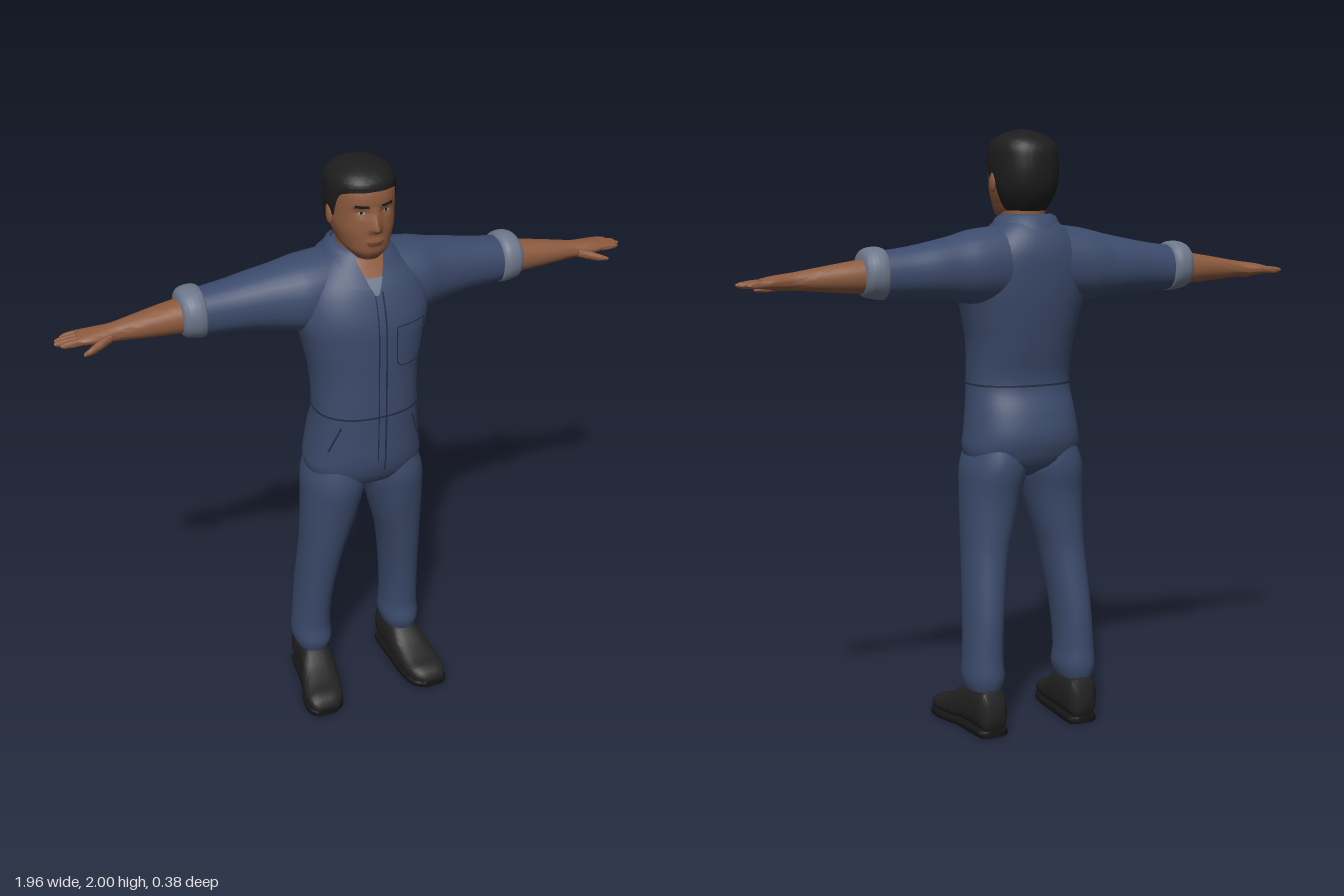
import * as THREE from 'three';
import { toCreasedNormals } from 'three/addons/utils/BufferGeometryUtils.js';

const paint = (name, color) => new THREE.MeshStandardMaterial({ name, color, side: THREE.DoubleSide });

// Smooth interpolation of rows [t, v1, v2, ...] at t
function sample(rows, t) {
  const last = rows.length - 1;
  t = Math.min(Math.max(t, rows[0][0]), rows[last][0]);
  let i = 0;
  while (i < last - 1 && t > rows[i + 1][0]) i++;
  const a = rows[i], b = rows[i + 1], p = rows[Math.max(i - 1, 0)], q = rows[Math.min(i + 2, last)];
  const h = b[0] - a[0], s = (t - a[0]) / h, s2 = s * s, s3 = s2 * s;
  return a.slice(1).map((va, k) => {
    const vb = b[k + 1];
    const ma = (vb - p[k + 1]) / (b[0] - p[0]) * h, mb = (q[k + 1] - va) / (q[0] - a[0]) * h;
    return va * (2 * s3 - 3 * s2 + 1) + ma * (s3 - 2 * s2 + s) + vb * (3 * s2 - 2 * s3) + mb * (s3 - s2);
  });
}

// Surface from a function of two indices
function grid(nu, nv, fn, closed = false) {
  const pos = [], idx = [], cols = closed ? nu : nu + 1;
  for (let j = 0; j <= nv; j++) for (let i = 0; i < cols; i++) pos.push(...fn(i, j));
  for (let j = 0; j < nv; j++) for (let i = 0; i < nu; i++) {
    const a = j * cols + i, b = j * cols + (i + 1) % cols;
    idx.push(a, b, a + cols, b, b + cols, a + cols);
  }
  const g = new THREE.BufferGeometry();
  g.setAttribute('position', new THREE.Float32BufferAttribute(pos, 3));
  g.setIndex(idx);
  return g;
}

// Point on a rounded section with bounds [a0, a1, b0, b1]
const sp = (v, n) => Math.sign(v) * Math.abs(v) ** (2 / n);
function ring([a0, a1, b0, b1], th, n, off = 0) {
  return [(a0 + a1) / 2 + ((a1 - a0) / 2 + off) * sp(Math.cos(th), n),
    (b0 + b1) / 2 + ((b1 - b0) / 2 + off) * sp(Math.sin(th), n)];
}
const place = { x: (t, a, b) => [t, a, b], y: (t, a, b) => [b, t, a], z: (t, a, b) => [a, b, t] };

// Closed loft along an axis; bounds are (y,z) for x, (z,x) for y and (x,y) for z
function loft(axis, rows, { n = 2.2, nu = 28, nv = 24, off = 0, bend = p => p } = {}) {
  const t0 = rows[0][0], t1 = rows[rows.length - 1][0];
  const g = grid(nu, nv + 2, (i, j) => {
    const t = t0 + (t1 - t0) * Math.min(Math.max((j - 1) / nv, 0), 1), s = sample(rows, t);
    if (j === 0 || j === nv + 2) return bend(place[axis](t, (s[0] + s[1]) / 2, (s[2] + s[3]) / 2));
    return bend(place[axis](t, ...ring(s, i / nu * Math.PI * 2, n, off)));
  }, true);
  return toCreasedNormals(g, 0.9);
}

function mirror(geo) {
  const g = geo.clone().scale(-1, 1, 1).toNonIndexed();
  for (const at of Object.values(g.attributes)) {
    for (let i = 0; i < at.count; i += 3) for (let k = 0; k < at.itemSize; k++) {
      const a = at.array, p = (i + 1) * at.itemSize + k, q = p + at.itemSize;
      [a[p], a[q]] = [a[q], a[p]];
    }
  }
  return g;
}

const sym = rows => rows.map(([y, zb, zf, r]) => [y, zb, zf, -r, r]);
const TORSO = sym([[.86, -.06, .06, .06], [.9, -.13, .12, .17], [.95, -.155, .145, .2], [1, -.165, .155, .195],
  [1.08, -.15, .157, .185], [1.17, -.12, .16, .176], [1.3, -.145, .16, .18], [1.4, -.165, .16, .2],
  [1.5, -.18, .155, .22], [1.6, -.185, .12, .2], [1.66, -.17, .08, .15], [1.7, -.145, .055, .105], [1.72, -.12, .04, .075]]);
const HEAD = sym([[1.7, -.02, .09, .04], [1.73, -.09, .11, .07], [1.76, -.115, .112, .084], [1.8, -.135, .113, .097],
  [1.85, -.145, .109, .102], [1.9, -.145, .111, .102], [1.94, -.138, .1, .098], [1.967, -.116, .08, .083],
  [1.985, -.085, .048, .055], [1.995, -.05, .012, .025], [2, -.02, -.02, 0]]);
const N = 2.3;

// Nose, eye sockets and lips pushed out of the face
const bell = (v, w) => Math.exp(-((v / w) ** 2));
function faceRelief(x, y) {
  const nose = y > 1.81 ? Math.max(0, (1.88 - y) / .07) : Math.max(0, (y - 1.792) / .018);
  return .031 * nose * bell(x, .015) - .009 * bell(Math.abs(x) - .04, .02) * bell(y - 1.863, .014)
    + .005 * bell(x, .03) * bell(y - 1.763, .012);
}
function frontZ(rows, x, y) {
  const [z0, z1, , r] = sample(rows, y);
  return (z0 + z1) / 2 + (z1 - z0) / 2 * Math.max(0, 1 - Math.abs(x / r) ** N) ** (1 / N);
}
const chestZ = (x, y) => frontZ(TORSO, x, y);
const faceZ = (x, y) => frontZ(HEAD, x, y) + faceRelief(x, y);

// Thin plate following a front surface; corners: bottom left, bottom right, top left, top right
function plate(zf, [bl, br, tl, tr], off, nu = 8, nv = 8) {
  const mix = (a, b, t) => a + (b - a) * t;
  const g = grid(nu, nv, (i, j) => {
    const [x, y] = [0, 1].map(k => mix(mix(bl[k], br[k], i / nu), mix(tl[k], tr[k], i / nu), j / nv));
    return [x, y, zf(x, y) + off];
  });
  g.computeVertexNormals();
  return g;
}

export function createModel() {
  const model = new THREE.Group();
  const cloth = paint('coverall blue', 0x3c4b6c), seam = paint('seam navy', 0x232c42), cuffMat = paint('cuff grey', 0x6d778a);
  const skin = paint('skin', 0x8c5a3e), hair = paint('hair black', 0x1d1d1d), boot = paint('boot black', 0x222222);
  const sole = paint('sole black', 0x151515), lip = paint('lip', 0x70402f), white = paint('eye white', 0xa09488);
  const add = (name, geo, mat) => {
    const m = new THREE.Mesh(geo, mat);
    m.name = name;
    model.add(m);
  };
  const pair = (name, geo, mat) => {
    add(name + 'Left', geo, mat);
    add(name + 'Right', mirror(geo), mat);
  };

  // Coverall body, legs and sleeves
  add('torso', loft('y', TORSO, { n: N, nu: 48, nv: 44 }), cloth);
  pair('trouserLeg', loft('y', [[.155, -.15, .015, .114, .228], [.19, -.16, .028, .102, .238], [.25, -.156, .02, .107, .234],
    [.4, -.15, .04, .1, .226], [.6, -.125, .08, .07, .216], [.7, -.124, .1, .043, .214], [.8, -.13, .12, .018, .212],
    [.9, -.146, .135, -.002, .206], [1, -.13, .12, .01, .17]], { nu: 32, nv: 36 }), cloth);
  pair('sleeve', loft('x', [[.08, 1.44, 1.695, -.17, .07], [.2, 1.44, 1.68, -.175, .07], [.27, 1.45, 1.662, -.168, .045],
    [.35, 1.46, 1.645, -.165, .025], [.43, 1.465, 1.63, -.155, .01], [.52, 1.468, 1.618, -.148, 0]]), cloth);
  pair('rolledCuff', loft('x', [[.508, 1.475, 1.615, -.143, -.007], [.515, 1.465, 1.627, -.158, .008], [.545, 1.468, 1.632, -.162, .012],
    [.575, 1.475, 1.624, -.155, .005], [.585, 1.485, 1.612, -.143, -.007]], { nv: 12 }), cuffMat);

  // Seams, zip and pockets
  const line = (name, zf, [x0, y0], [x1, y1], w = .005) => {
    const l = Math.hypot(x1 - x0, y1 - y0), nx = (y1 - y0) / l * w / 2, ny = -(x1 - x0) / l * w / 2;
    add(name, plate(zf, [[x0 - nx, y0 - ny], [x0 + nx, y0 + ny], [x1 - nx, y1 - ny], [x1 + nx, y1 + ny]], .005, 1, 16), seam);
  };
  const waist = [1.166, 1.169, 1.172].map(y => [y, ...sample(TORSO, y)]);
  add('waistSeam', loft('y', waist, { n: N, nu: 48, nv: 2, off: .002 }), seam);
  line('zipSeam', chestZ, [-.006, 1.0], [-.006, 1.59], .004);
  line('placketSeam', chestZ, [.02, .96], [.02, 1.6], .006);
  for (const s of [-1, 1]) line('hipPocket', chestZ, [s * .16, 1.04], [s * .125, 1.14]);
  add('chestPocket', plate(chestZ, [[.06, 1.345], [.16, 1.345], [.057, 1.485], [.165, 1.485]], .004), cloth);
  const outline = [[.057, 1.485], [.057, 1.36], [.075, 1.343], [.145, 1.343], [.163, 1.36], [.165, 1.485], [.057, 1.485]];
  for (let i = 0; i < 6; i++) line('pocketSeam', chestZ, outline[i], outline[i + 1], .004);

  // Open neckline and collar
  add('neckline', plate(chestZ, [[-.006, 1.6], [.006, 1.6], [-.06, 1.695], [.06, 1.695]], .004), skin);
  add('undershirt', plate(chestZ, [[-.006, 1.592], [.006, 1.592], [-.03, 1.64], [.03, 1.64]], .007), cuffMat);
  pair('lapel', plate(chestZ, [[.018, 1.612], [.088, 1.622], [.05, 1.705], [.1, 1.69]], .012), cloth);
  const collar = grid(32, 3, (i, j) => {
    const a = .75 + (Math.PI * 2 - 1.5) * i / 32, drop = .02 * Math.max(0, Math.cos(a));
    const r = [.078, .084, .1, .12][j], y = [1.69, 1.728, 1.72, 1.682][j] - drop;
    return [Math.sin(a) * r, y, -.04 + Math.cos(a) * r];
  });
  add('collar', toCreasedNormals(collar, .9), cloth);

  // Head, neck and face
  add('neck', loft('y', sym([[1.6, -.1, .05, .065], [1.7, -.1, .055, .07], [1.77, -.1, .05, .072]])), skin);
  add('head', loft('y', HEAD, { n: N, nu: 80, nv: 64,
    bend: ([x, y, z]) => [x, y, z > .02 ? z + faceRelief(x, y) : z] }), skin);
  const ear = new THREE.SphereGeometry(1, 14, 10).scale(.011, .034, .02).rotateX(-.15).translate(.102, 1.83, -.012);
  pair('ear', ear, skin);
  pair('eye', plate(faceZ, [[.029, 1.858], [.053, 1.858], [.032, 1.867], [.05, 1.867]], .003, 6, 3), white);
  pair('pupil', plate(faceZ, [[.037, 1.858], [.045, 1.858], [.037, 1.867], [.045, 1.867]], .004, 2, 2), hair);
  pair('eyebrow', plate(faceZ, [[.02, 1.879], [.064, 1.88], [.021, 1.887], [.06, 1.89]], .003, 8, 2), hair);
  add('mouth', plate(faceZ, [[-.022, 1.754], [.022, 1.754], [-.03, 1.768], [.03, 1.768]], .002, 10, 4), lip);

  // Short hair with a hairline that drops behind the ears
  const hairline = [[0, 1.928], [.8, 1.922], [1.15, 1.9], [1.35, 1.835], [1.6, 1.83], [1.85, 1.755], [2.2, 1.735], [Math.PI, 1.725]];
  const hairGeo = grid(80, 28, (i, j) => {
    const th = i / 80 * Math.PI * 2, v = j / 28;
    const low = sample(hairline, Math.min(th, Math.PI * 2 - th))[0];
    const y = low + (2 - low) * Math.sin(v * Math.PI / 2);
    const off = (.001 + .006 * Math.min(1, v * 6)) * (1 - v ** 8);
    return place.y(y, ...ring(sample(HEAD, y), th, N, off));
  }, true);
  add('hair', toCreasedNormals(hairGeo, .9), hair);

  // Forearms, hands and fingers
  pair('forearm', loft('x', [[.55, 1.485, 1.598, -.135, -.015], [.62, 1.488, 1.588, -.13, -.02], [.7, 1.494, 1.575, -.117, -.026],
    [.8, 1.502, 1.558, -.1, -.034], [.84, 1.503, 1.553, -.107, -.03], [.88, 1.508, 1.547, -.115, -.03], [.91, 1.512, 1.54, -.114, -.036]]), skin);
  [[.955, -.106], [.975, -.086], [.98, -.066], [.965, -.046]].forEach(([tip, z], k) => {
    pair('finger' + (k + 1), loft('x', [[.88, 1.515, 1.54, z - .011, z + .011], [.93, 1.513, 1.536, z - .011, z + .011],
      [tip - .01, 1.514, 1.532, z - .009, z + .009], [tip, 1.519, 1.527, z - .004, z + .004]], { nu: 10, nv: 8 }), skin);
  });
  pair('thumb', loft('x', [[.81, 1.508, 1.54, -.06, -.03], [.85, 1.498, 1.528, -.042, -.012],
    [.885, 1.495, 1.516, -.02, .001], [.905, 1.498, 1.508, -.006, .004]], { nu: 12, nv: 10 }), skin);

  // Boots
  pair('boot', loft('z', [[-.165, .135, .2, .03, .12], [-.155, .12, .215, .015, .16], [-.05, .115, .225, .015, .168], [0, .115, .235, .015, .155],
    [.05, .118, .25, .015, .115], [.11, .125, .262, .015, .085], [.16, .14, .262, .015, .07], [.186, .165, .245, .015, .048]], { n: 2.8, nu: 32 }), boot);
  pair('sole', loft('z', [[-.166, .14, .2, .002, .024], [-.15, .117, .217, 0, .027], [0, .117, .237, 0, .027], [.05, .117, .254, 0, .027],
    [.11, .122, .267, 0, .027], [.16, .137, .266, 0, .027], [.19, .17, .245, .004, .027]], { n: 6, nu: 32 }), sole);
  pair('heel', new THREE.BoxGeometry(.094, .012, .1).translate(.167, .006, -.1), sole);

  return model;
}
